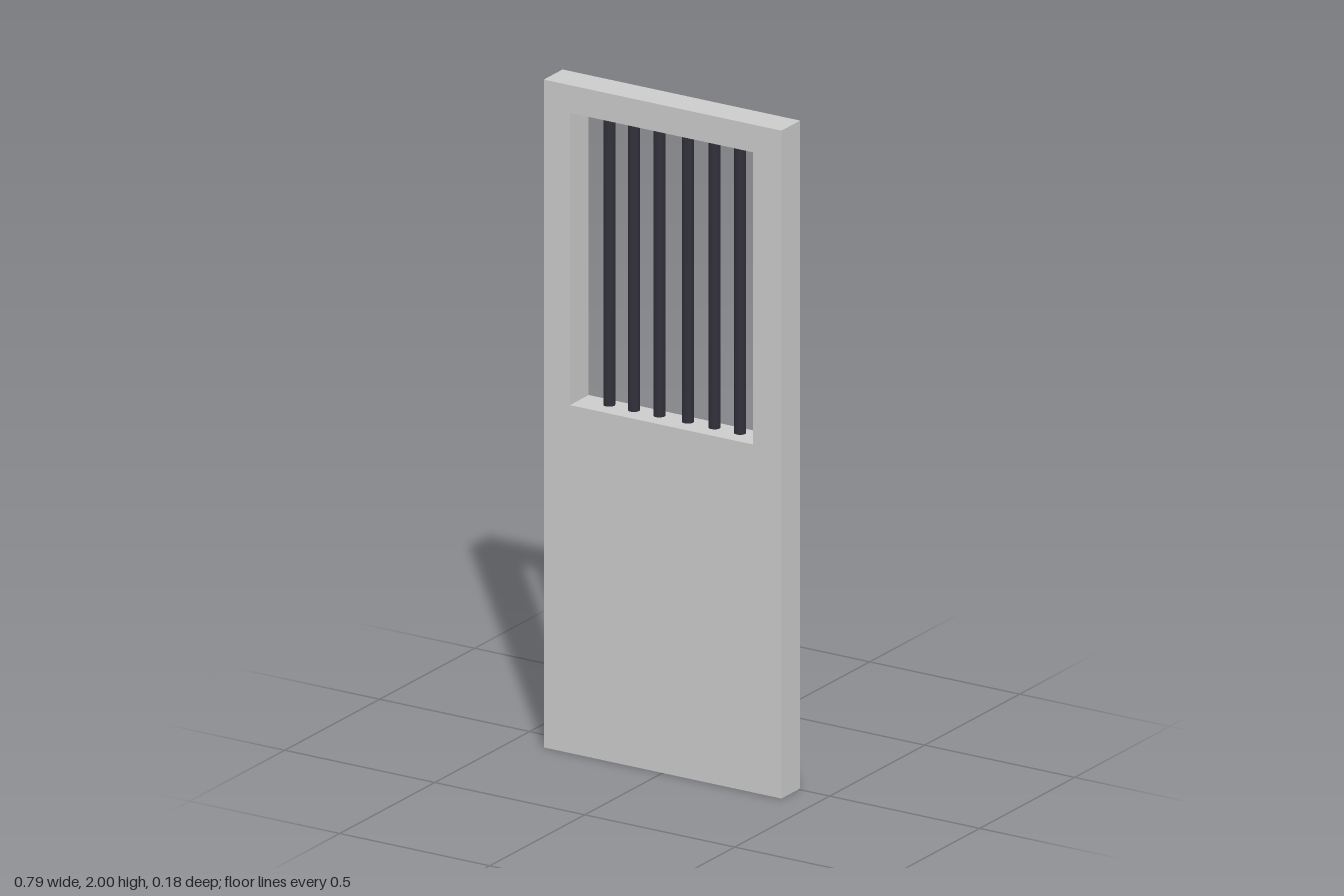
import * as THREE from 'three';
import { toCreasedNormals } from 'three/addons/utils/BufferGeometryUtils.js';

const grey = new THREE.MeshStandardMaterial({ color: 0xcccccc });
const iron = new THREE.MeshStandardMaterial({ color: 0x32303a });

const BACK = -0.009, FRONT = 0.09;
const HANDLE_X = -0.32, HANDLE_Y = 0.942;

function add(parent, name, geometry, material, x = 0, y = 0, z = 0) {
  const mesh = new THREE.Mesh(geometry, material);
  mesh.name = name;
  mesh.position.set(x, y, z);
  parent.add(mesh);
  return mesh;
}

// Rectangle outline, counter-clockwise
function rectangle(path, x0, y0, x1, y1) {
  path.moveTo(x0, y0);
  path.lineTo(x1, y0);
  path.lineTo(x1, y1);
  path.lineTo(x0, y1);
  path.closePath();
  return path;
}

// Lever tube: each section is an ellipse spanning an outer and inner point in the xz plane
function leverGeometry(sections, radiusY, sides = 16) {
  const pos = [], index = [];
  for (const [ox, oz, ix, iz] of sections) {
    for (let j = 0; j < sides; j++) {
      const a = (j / sides) * Math.PI * 2, c = Math.cos(a) / 2;
      pos.push((ox + ix) / 2 + c * (ox - ix), radiusY * Math.sin(a), (oz + iz) / 2 + c * (oz - iz));
    }
  }
  for (let i = 0; i < sections.length - 1; i++) {
    for (let j = 0; j < sides; j++) {
      const k = (j + 1) % sides;
      const a = i * sides + j, b = i * sides + k;
      index.push(a, b, a + sides, b, b + sides, a + sides);
    }
  }
  // Slanted end cap
  const last = (sections.length - 1) * sides;
  for (let j = 1; j < sides - 1; j++) index.push(last, last + j, last + j + 1);
  const geometry = new THREE.BufferGeometry();
  geometry.setAttribute('position', new THREE.Float32BufferAttribute(pos, 3));
  geometry.setIndex(index);
  return toCreasedNormals(geometry, 0.42);
}

export function createModel() {
  const model = new THREE.Group();
  model.name = 'barredDoor';

  // Door slab with window opening
  const outline = rectangle(new THREE.Shape(), -0.396, 0, 0.396, 2);
  outline.holes.push(rectangle(new THREE.Path(), -0.309, 1.042, 0.301, 1.917));
  const slab = new THREE.ExtrudeGeometry(outline, { depth: FRONT - BACK, bevelEnabled: false });
  add(model, 'doorSlab', slab, grey, 0, 0, BACK);

  // Window bars
  const bars = new THREE.Group();
  bars.name = 'windowBars';
  model.add(bars);
  const barGeometry = new THREE.CylinderGeometry(0.017, 0.017, 0.885, 20);
  [-0.217, -0.135, -0.05, 0.045, 0.134, 0.219].forEach((x) =>
    add(bars, 'bar', barGeometry, iron, x, 1.4795, 0.028));

  // Handle on the back face
  const handle = new THREE.Group();
  handle.name = 'handle';
  handle.position.set(HANDLE_X, HANDLE_Y, 0);
  model.add(handle);
  const disc = (name, radius, z0, z1) => {
    const geometry = new THREE.CylinderGeometry(radius, radius, z0 - z1, 32).rotateX(Math.PI / 2);
    add(handle, name, geometry, iron, 0, 0, (z0 + z1) / 2);
  };
  disc('rosette', 0.033, BACK, -0.031);
  disc('collar', 0.028, -0.03, -0.041);

  // Neck, mitred bend and slant-cut grip
  const lever = leverGeometry([
    [-0.016, -0.038, 0.016, -0.038],
    [-0.016, -0.067, 0.016, -0.062],
    [-0.003, -0.092, 0.02, -0.067],
    [0.153, -0.092, 0.174, -0.067],
  ], 0.0155);
  add(handle, 'lever', lever, iron);

  return model;
}
